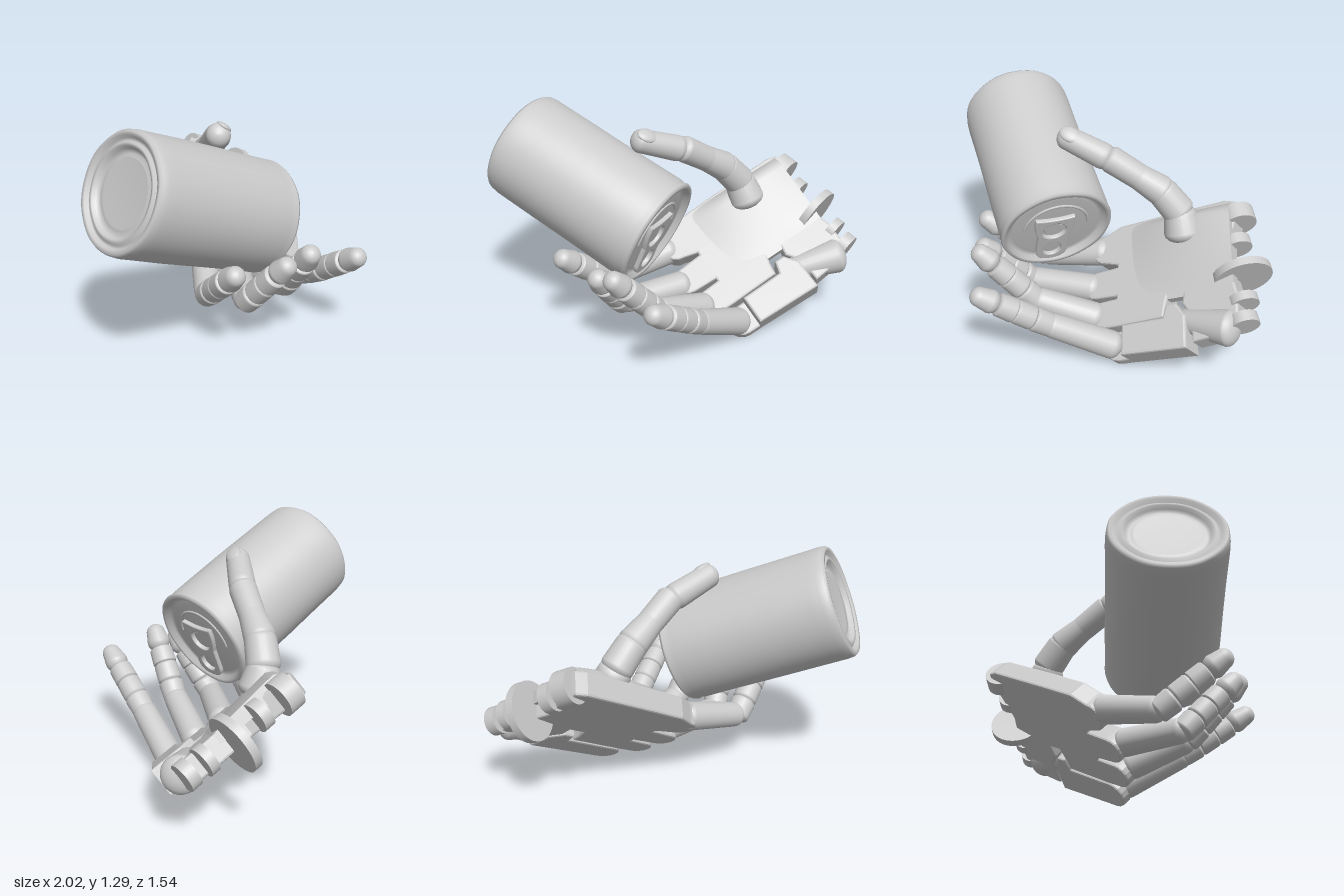
import * as THREE from 'three';

const mat = new THREE.MeshStandardMaterial({ color: 0xcccccc, side: THREE.DoubleSide });
const V = (x, y, z) => new THREE.Vector3(x, y, z);
const UP = V(0, 1, 0);

function add(parent, name, geo) {
  const m = new THREE.Mesh(geo, mat);
  m.name = name;
  parent.add(m);
  return m;
}

// Tapered phalanx with rounded ends, running from p to q
function segment(parent, name, p, q, r0, r1, round = 0.5) {
  const dir = q.clone().sub(p), len = dir.length(), pts = [];
  for (let i = 0; i <= 6; i++) {
    const t = (i / 6) * Math.PI / 2;
    pts.push(new THREE.Vector2(r0 * Math.sin(t) + 1e-4, r0 * round * (1 - Math.cos(t))));
  }
  for (let i = 0; i <= 6; i++) {
    const t = (i / 6) * Math.PI / 2;
    pts.push(new THREE.Vector2(r1 * Math.cos(t) + 1e-4, len - r1 * round * (1 - Math.sin(t))));
  }
  const m = add(parent, name, new THREE.LatheGeometry(pts, 24));
  m.position.copy(p);
  m.quaternion.setFromUnitVectors(UP, dir.normalize());
}

// Drinks can: lathed body, recessed ends, pull tab
function makeCan() {
  const can = new THREE.Group();
  can.name = 'can';
  const far = V(-0.873, 1.016, -0.04), near = V(-0.005, 0.66, 0.165);
  const L = near.distanceTo(far);
  const yAxis = near.clone().sub(far).normalize();
  const zAxis = UP.clone().addScaledVector(yAxis, -yAxis.y).normalize();
  const xAxis = yAxis.clone().cross(zAxis);
  can.quaternion.setFromRotationMatrix(new THREE.Matrix4().makeBasis(xAxis, yAxis, zAxis));
  can.position.copy(far);

  const pts = [[0.0001, 0.04], [0.17, 0.04], [0.18, 0.03], [0.195, 0.045], [0.215, 0.03], [0.225, 0.01], [0.24, 0.008],
    [0.25, 0.022], [0.265, 0.022], [0.275, 0.002], [0.295, 0], [0.306, 0.015], [0.311, 0.05], [0.312, 0.1], [0.312, 0.3],
    [0.312, 0.5], [0.312, 0.7], [0.312, L - 0.06], [0.306, L - 0.035], [0.314, L - 0.015], [0.308, L], [0.285, L],
    [0.275, L - 0.03], [0.245, L - 0.035], [0.235, L - 0.025], [0.0001, L - 0.025]].map(p => new THREE.Vector2(...p));
  const body = new THREE.LatheGeometry(pts, 72), pos = body.attributes.position;
  for (let i = 0; i < pos.count; i++) { // slightly dented surface
    const a = Math.atan2(pos.getX(i), pos.getZ(i)), y = pos.getY(i);
    const k = 1 + 0.008 * Math.sin(5 * a + 9 * y) * Math.sin(3 * a - 14 * y);
    pos.setX(i, pos.getX(i) * k);
    pos.setZ(i, pos.getZ(i) * k);
  }
  add(can, 'canBody', body);

  // Pull tab with a finger hole and a rivet opening
  const tab = new THREE.Shape();
  tab.moveTo(-0.105, 0.09);
  tab.quadraticCurveTo(0, 0.07, 0.105, 0.09);
  tab.quadraticCurveTo(0.115, 0.03, 0.085, -0.06);
  tab.lineTo(0.085, -0.2);
  tab.quadraticCurveTo(0.08, -0.26, 0, -0.26);
  tab.quadraticCurveTo(-0.08, -0.26, -0.085, -0.2);
  tab.lineTo(-0.085, -0.06);
  tab.quadraticCurveTo(-0.115, 0.03, -0.105, 0.09);
  const oval = (y, rx, ry) => new THREE.Path().absellipse(0, y, rx, ry, 0, Math.PI * 2);
  tab.holes.push(oval(-0.175, 0.058, 0.06), oval(-0.01, 0.075, 0.07));
  const tabMesh = add(can, 'pullTab', new THREE.ExtrudeGeometry(tab, {
    depth: 0.016, bevelEnabled: true, bevelThickness: 0.006, bevelSize: 0.006, bevelSegments: 2, curveSegments: 16 }));
  tabMesh.rotation.x = Math.PI / 2;
  tabMesh.position.set(0.015, L - 0.006, 0);
  const rivet = add(can, 'rivet', new THREE.CylinderGeometry(0.05, 0.055, 0.01, 24));
  rivet.position.set(0.015, L - 0.021, -0.01);
  const arc = add(can, 'lidCrease', new THREE.TorusGeometry(0.18, 0.008, 8, 32, Math.PI));
  arc.rotation.x = Math.PI / 2;
  arc.position.y = L - 0.025;
  return can;
}

// Hand frame: u runs from little finger to index side, v to the wrist, h out of the palm
const O = V(0.45, 0.065, 0.05);
const N = V(0.096, 0.727, 0.68).normalize();
const W = V(0.71, 0.43, -0.56);
W.addScaledVector(N, -W.dot(N)).normalize();
const A = N.clone().cross(W);
const onHand = (u, v, h) => O.clone().addScaledVector(A, u).addScaledVector(W, v).addScaledVector(N, h);

// Flat bevelled slab between heights h0 and h1
function plate(parent, name, outline, h0, h1) {
  const s = new THREE.Shape();
  s.setFromPoints(outline.map(([u, v]) => new THREE.Vector2(-u, v)));
  const b = 0.012;
  const m = add(parent, name, new THREE.ExtrudeGeometry(s, {
    depth: h1 - h0 - 2 * b, bevelEnabled: true, bevelThickness: b, bevelSize: b, bevelOffset: -b, bevelSegments: 2 }));
  m.position.z = h0 + b;
}

// Rounded knuckle end of a palm strip
function knuckleEnd(u, v, w) {
  const out = [];
  for (let i = 0; i <= 8; i++) {
    const t = Math.PI * (i / 8);
    out.push([u - w * Math.cos(t), v - w * Math.sin(t)]);
  }
  return out;
}

function makePalm() {
  const palm = new THREE.Group();
  palm.name = 'palm';
  palm.quaternion.setFromRotationMatrix(new THREE.Matrix4().makeBasis(A.clone().negate(), W, N));
  palm.position.copy(O);

  plate(palm, 'palmPlate', [
    [0.13, 0.33], [0.12, 0.02], ...knuckleEnd(0.2, -0.09, 0.078), [0.285, 0.03], [0.3, 0.03],
    ...knuckleEnd(0.385, -0.11, 0.08), [0.475, 0.03], [0.49, 0.03], ...knuckleEnd(0.6, -0.05, 0.088),
    [0.73, 0.05], [0.74, 0.3], [0.75, 0.7], [0.73, 0.76], [0.67, 0.77], [0.42, 0.7], [0.2, 0.76], [0.07, 0.76],
    [-0.01, 0.7], [-0.03, 0.5], [0.12, 0.49], [0.19, 0.44], [0.27, 0.45], [0.27, 0.36], [0.2, 0.34]], -0.045, 0.085);
  // Little finger side: thin knuckle cup and a thicker block behind it
  plate(palm, 'littleFingerCup', [...knuckleEnd(0.025, 0.02, 0.085), [0.11, 0.2], [-0.06, 0.2]], -0.045, 0.03);
  plate(palm, 'littleFingerBlock', [
    [-0.06, 0.09], [0.11, 0.09], [0.115, 0.34], [0.185, 0.36], [0.185, 0.42], [0.11, 0.475], [-0.07, 0.48]], -0.045, 0.12);
  segment(palm, 'littleMetacarpal', V(-0.12, 0.4, 0.04), V(-0.02, 0.74, 0.03), 0.065, 0.1, 0.6);

  // Raised pad under the thumb, a box lifted by a smooth rule
  const pad = new THREE.BoxGeometry(0.5, 0.66, 0.06, 16, 20, 1), p = pad.attributes.position;
  for (let i = 0; i < p.count; i++) {
    if (p.getZ(i) < 0) continue;
    const x = p.getX(i) / 0.25, y = p.getY(i) / 0.33;
    const edge = Math.min(1, (1 + x) * 4) ** 0.5;
    const rise = edge * ((1 - x) / 2) ** 0.8 * Math.max(0, 1 - (Math.abs(y - 0.35) / 1.35) ** 2) ** 1.3;
    p.setZ(i, 0.02 + 0.075 * rise);
  }
  pad.computeVertexNormals();
  add(palm, 'thumbPad', pad).position.set(-0.48, 0.41, 0.058);
  const socket = add(palm, 'thumbSocket', new THREE.SphereGeometry(0.1, 24, 16));
  socket.scale.set(1.2, 1.3, 0.9);
  socket.position.set(-0.61, 0.48, 0.06);

  // Wrist hinge lugs and the large hinge disc, on slightly slanted axles
  for (const [u, v, r, t] of [[0.06, 0.765, 0.078, 0.06], [0.17, 0.765, 0.08, 0.05], [0.33, 0.75, 0.16, 0.045],
    [0.5, 0.735, 0.08, 0.06], [0.655, 0.745, 0.095, 0.09]]) {
    const lug = add(palm, r > 0.1 ? 'hingeDisc' : 'wristLug', new THREE.CylinderGeometry(r, r, t, 32));
    lug.rotation.z = Math.PI / 2 + 0.26;
    lug.position.set(-u, v, r > 0.1 ? -0.01 : 0.02);
  }
  return palm;
}

// Finger: long proximal, two short knuckle sections, capped tip
function makeFinger(name, base, pip, tip, s) {
  const f = new THREE.Group();
  f.name = name;
  const at = t => pip.clone().lerp(tip, t);
  segment(f, 'proximal', base, pip.clone().lerp(base, -0.06), 0.076 * s, 0.067 * s, 0.8);
  segment(f, 'knuckle', at(-0.08), at(0.24), 0.064 * s, 0.068 * s, 0.4);
  segment(f, 'middle', at(0.18), at(0.5), 0.066 * s, 0.065 * s, 0.4);
  segment(f, 'distal', at(0.45), at(0.72), 0.066 * s, 0.063 * s, 0.25);
  segment(f, 'fingertip', at(0.67), at(1.06), 0.063 * s, 0.052 * s, 0.9);
  return f;
}

function makeThumb() {
  const t = new THREE.Group();
  t.name = 'thumb';
  const pts = [V(0.368, 0.635, -0.425), V(0.315, 0.755, -0.43), V(0.235, 0.87, -0.36), V(0.15, 0.95, -0.26),
    V(0.05, 1.045, -0.14)];
  const radii = [0.105, 0.09, 0.085, 0.072, 0.075];
  for (let i = 0; i < 4; i++) {
    const over = pts[i + 1].clone().sub(pts[i]).normalize().multiplyScalar(0.04);
    segment(t, 'thumbSection', pts[i].clone().sub(over), pts[i + 1].clone().add(over), radii[i], radii[i + 1], 0.6);
  }
  const tip = V(-0.19, 1.145, 0.045);
  segment(t, 'thumbTip', V(0.06, 1.035, -0.15), tip, 0.073, 0.066, 0.8);
  // Nail on the outer side of the tip
  const nail = add(t, 'thumbNail', new THREE.SphereGeometry(1, 20, 12));
  const y = tip.clone().sub(pts[4]).normalize(), z = V(0.45, 0.75, 0.3);
  z.addScaledVector(y, -z.dot(y)).normalize();
  nail.quaternion.setFromRotationMatrix(new THREE.Matrix4().makeBasis(y.clone().cross(z), y, z));
  nail.scale.set(0.045, 0.06, 0.02);
  nail.position.copy(tip).addScaledVector(y, -0.07).addScaledVector(z, 0.052);
  return t;
}

export function createModel() {
  const model = new THREE.Group();
  model.name = 'handHoldingCan';
  model.add(makeCan(), makePalm(), makeThumb());
  model.add(
    makeFinger('indexFinger', onHand(0.61, -0.04, 0.02), V(-0.33, 0.285, 0.065), V(-0.5, 0.55, 0.38), 1.06),
    makeFinger('middleFinger', onHand(0.385, -0.1, 0.02), V(-0.2, 0.24, 0.235), V(-0.24, 0.55, 0.525), 1.06),
    makeFinger('ringFinger', onHand(0.2, -0.08, 0.02), V(0.03, 0.28, 0.335), V(-0.135, 0.595, 0.595), 1.06),
    makeFinger('littleFinger', onHand(0.02, 0.03, 0.01), V(0.27, 0.28, 0.385), V(0.125, 0.515, 0.735), 1.04));
  return model;
}
